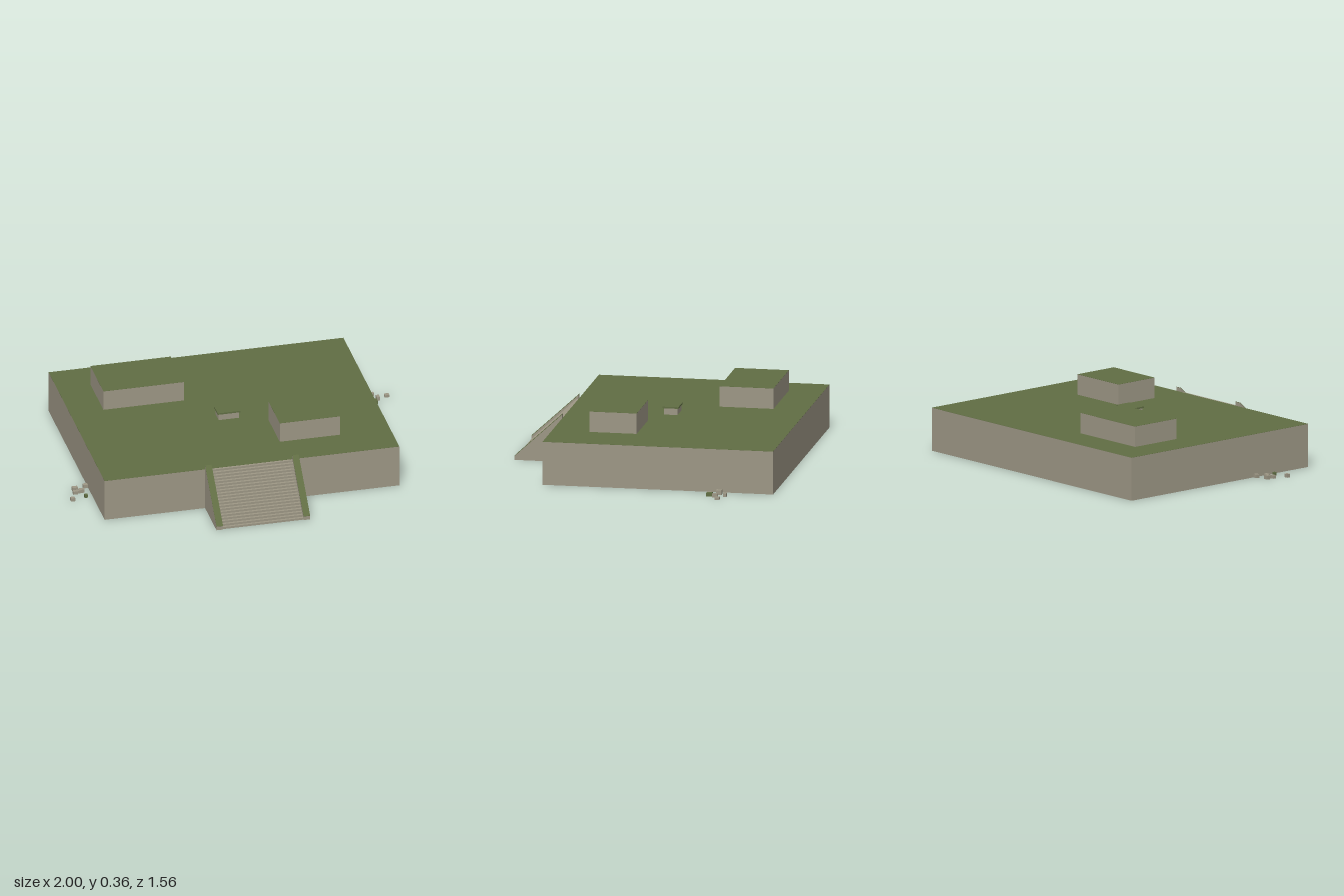
import * as THREE from 'three';

export function createModel() {
  const model = new THREE.Group();
  model.name = 'terracedPlatform';
  const stone = new THREE.MeshStandardMaterial({ color: 0x9d9785, side: THREE.DoubleSide });
  stone.name = 'stone';
  const grass = new THREE.MeshStandardMaterial({ color: 0x606d43 });
  grass.name = 'grass';

  const add = (name, geometry, material, parent = model) => {
    const mesh = new THREE.Mesh(geometry, material);
    mesh.name = name;
    parent.add(mesh);
    return mesh;
  };

  // Hollow stone walls with a flat grass surface on top
  const block = (name, x0, x1, y0, y1, z0, z1) => {
    const group = new THREE.Group();
    group.name = name;
    group.position.set((x0 + x1) / 2, 0, (z0 + z1) / 2);
    const h = y1 - y0 - 0.001;
    const box = new THREE.BoxGeometry(x1 - x0, h, z1 - z0);
    const index = [...box.index.array];
    index.splice(12, 12); // leave top and underside open
    box.setIndex(index);
    box.clearGroups();
    add(name + 'Walls', box.translate(0, y0 + h / 2, 0), stone, group);
    const top = new THREE.BoxGeometry(x1 - x0, 0.001, z1 - z0);
    add(name + 'Grass', top.translate(0, y1 - 0.0005, 0), grass, group);
    model.add(group);
    return group;
  };
  const base = block('base', -0.87, 0.805, 0, 0.244, -0.78, 0.515);
  // Underside of the thick floor slab, recessed inside the base walls
  add('floorUnderside', new THREE.PlaneGeometry(1.675, 1.295).rotateX(Math.PI / 2).translate(0, 0.192, 0),
    stone, base);
  block('largeTerrace', -0.68, -0.223, 0.244, 0.36, -0.588, -0.286);
  block('smallTerrace', 0.177, 0.52, 0.244, 0.36, 0.04, 0.305);

  // Altar with an overhanging slab
  add('altar', new THREE.BoxGeometry(0.115, 0.037, 0.077).translate(-0.033, 0.2625, -0.057), stone);
  add('altarSlab', new THREE.BoxGeometry(0.13, 0.009, 0.09).translate(-0.033, 0.2855, -0.057), grass);

  // Stairs: one block per step, each resting on the back edge of the last
  const steps = 20, zFront = 0.775, rise = 0.243 / steps, run = 0.26 / steps;
  const stairs = new THREE.Group();
  stairs.name = 'stairs';
  model.add(stairs);
  for (let i = 0; i < steps; i++) {
    add('step' + (i + 1), new THREE.BoxGeometry(0.459, rise, run), stone, stairs)
      .position.set(-0.0325, rise * (i + 0.5), zFront - run * (i + 0.5));
  }

  // Sloped side walls with grass along the top; profile is drawn as (z, y)
  const profile = (points, width, x) => {
    const shape = new THREE.Shape(points.map(([z, y]) => new THREE.Vector2(-z, y)));
    return new THREE.ExtrudeGeometry(shape, { depth: width, bevelEnabled: false })
      .rotateY(Math.PI / 2).translate(x, 0, 0);
  };
  for (const [side, x] of [['right', -0.299], ['left', 0.196]]) {
    add(side + 'StairWall', profile([[0.78, 0], [0.515, 0], [0.515, 0.266], [0.78, 0.022]], 0.037, x), stone);
    add(side + 'StairWallGrass',
      profile([[0.78, 0.022], [0.515, 0.266], [0.515, 0.268], [0.78, 0.024]], 0.037, x), grass);
  }

  // Loose rubble: x, z, width, height, depth, mossy
  const rubble = [
    [-0.988, 0.257, 0.024, 0.020, 0.020, 0], [-0.949, 0.145, 0.031, 0.022, 0.022, 0],
    [-0.955, 0.183, 0.027, 0.018, 0.020, 0], [-0.918, 0.172, 0.030, 0.020, 0.022, 0],
    [-0.938, 0.177, 0.022, 0.016, 0.020, 0], [-0.885, 0.124, 0.026, 0.020, 0.022, 0],
    [-0.907, 0.236, 0.018, 0.018, 0.016, 1],
    [0.902, -0.528, 0.026, 0.019, 0.018, 0], [0.982, -0.50, 0.026, 0.014, 0.024, 0],
    [0.857, -0.487, 0.026, 0.026, 0.032, 0], [0.927, -0.477, 0.018, 0.022, 0.030, 0],
    [0.901, -0.441, 0.028, 0.019, 0.032, 1], [0.882, -0.434, 0.024, 0.018, 0.020, 0],
  ];
  rubble.forEach(([x, z, w, h, d, mossy], i) => {
    add((mossy ? 'mossyRubble' : 'rubble') + (i + 1), new THREE.BoxGeometry(w, h, d), mossy ? grass : stone)
      .position.set(x, h / 2, z);
  });
  return model;
}
